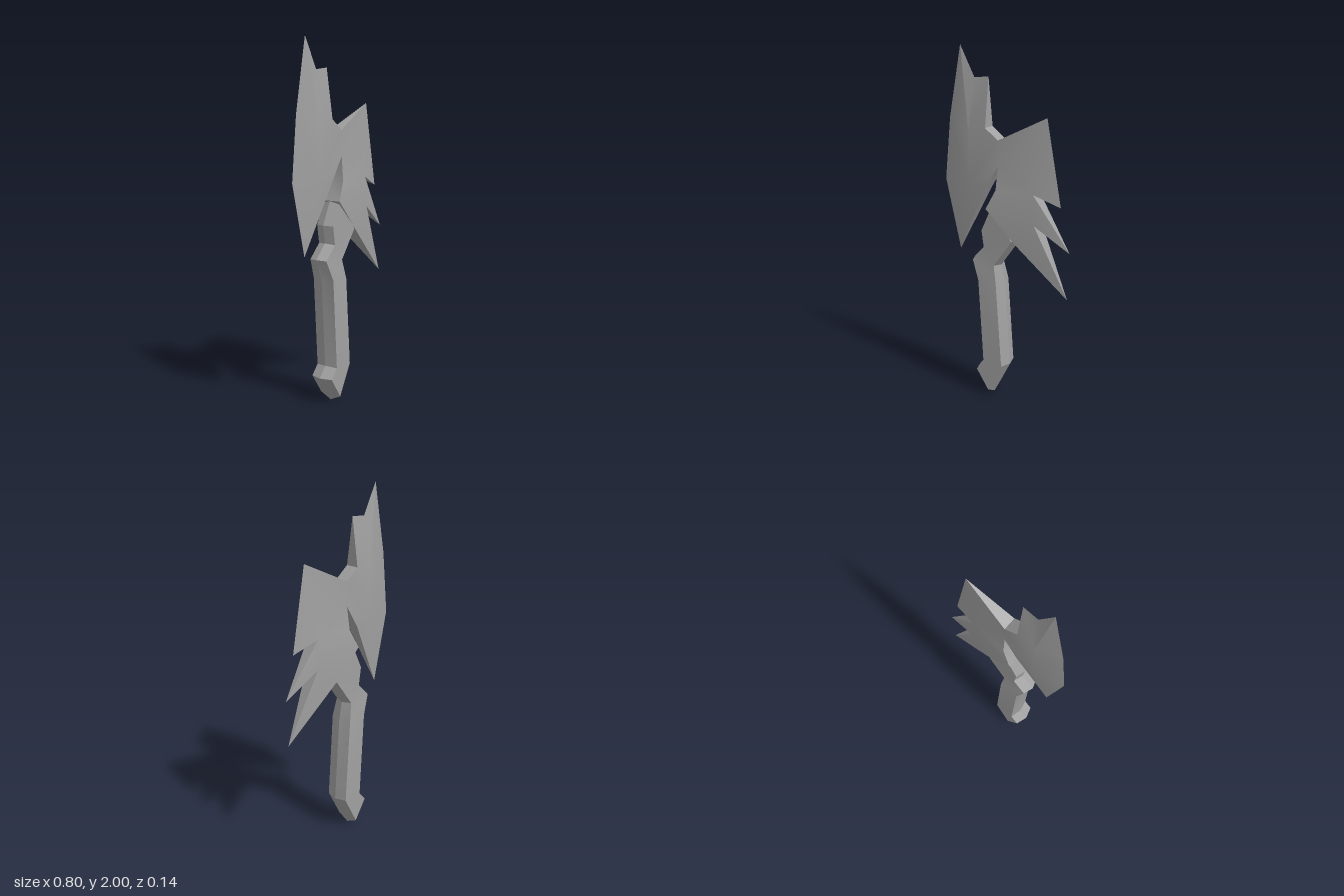
import * as THREE from 'three';
import { toCreasedNormals } from 'three/addons/utils/BufferGeometryUtils.js';

// Builds a solid mirrored in z: front points [x, y, z], front polygons (as fans),
// and a rim of n outline points, which may bulge out to a ridge loop at z = 0.
function mirroredSolid(points, polygons, n, ridge) {
  const pos = [];
  const v = (p) => new THREE.Vector3(p[0], p[1], p[2] ?? 0);
  const flip = (p) => [p[0], p[1], -(p[2] ?? 0)];
  const tri = (a, b, c) => {
    const A = v(a), B = v(b), C = v(c);
    const area = B.clone().sub(A).cross(C.clone().sub(A)).length();
    if (area > 1e-7) [A, B, C].forEach((p) => pos.push(p.x, p.y, p.z));
  };
  const both = (a, b, c) => { tri(a, b, c); tri(flip(a), flip(c), flip(b)); };

  for (const f of polygons) {
    for (let i = 1; i < f.length - 1; i++) both(points[f[0]], points[f[i]], points[f[i + 1]]);
  }
  for (let i = 0; i < n; i++) {
    const j = (i + 1) % n, a = points[i], b = points[j];
    if (ridge) {
      both(b, a, ridge[i]);
      both(b, ridge[i], ridge[j]);
    } else {
      tri(b, a, flip(a));
      tri(b, flip(a), flip(b));
    }
  }
  const geo = new THREE.BufferGeometry();
  geo.setAttribute('position', new THREE.Float32BufferAttribute(pos, 3));
  return toCreasedNormals(geo, 0.45);
}

// Mitred inset of a counter-clockwise outline
function inset(outline, d) {
  const n = outline.length;
  const normal = (a, b) => new THREE.Vector2(a[1] - b[1], b[0] - a[0]).normalize();
  return outline.map((p, i) => {
    const n1 = normal(outline[(i + n - 1) % n], p), n2 = normal(p, outline[(i + 1) % n]);
    const k = d / (1 + n1.dot(n2));
    return [p[0] + (n1.x + n2.x) * k, p[1] + (n1.y + n2.y) * k];
  });
}

export function createModel() {
  const group = new THREE.Group();
  const steel = new THREE.MeshStandardMaterial({ color: 0xa0a0a0 });
  steel.name = 'grey steel';

  // Axe head: sharp blade on the right, spiked wing on the left
  const head = [
    [-0.29, 2.0, 0], [-0.365, 1.6, 0], [-0.4, 1.25, 0], [-0.305, 0.85, 0],
    [-0.11, 1.24, 0.038], [-0.03, 1.37, 0.038], [-0.035, 1.24, 0.053], [-0.09, 1.13, 0.07],
    [0.085, 0.95, 0.052], [0.387, 0.67, 0], [0.2, 1.07, 0.043], [0.397, 0.935, 0],
    [0.19, 1.24, 0.038], [0.338, 1.18, 0], [0.25, 1.65, 0], [-0.03, 1.51, 0.038],
    [-0.11, 1.57, 0.038], [-0.11, 1.84, 0], [-0.2, 1.83, 0],
    [-0.22, 1.55, 0.038], [-0.22, 1.25, 0.038], // ridge inside the blade
  ];
  const headFaces = [
    [0, 1, 19], [1, 2, 20, 19], [2, 3, 20], [3, 4, 20], [20, 4, 5, 15, 16, 19],
    [19, 16, 17], [19, 17, 18], [19, 18, 0],
    [5, 6, 12], [6, 7, 12], [7, 10, 12], [7, 8, 10], [8, 9, 10], [10, 11, 12],
    [12, 13, 14], [5, 12, 14, 15],
  ];
  const axeHead = new THREE.Mesh(mirroredSolid(head, headFaces, 19), steel);
  axeHead.name = 'axeHead';

  // Handle: flat faces with sides that meet in a ridge, thinner at the neck
  const outline = [
    [-0.08, 0], [0.025, 0.2], [-0.01, 0.7], [-0.03, 0.8], [0.085, 0.96], [0, 1.12],
    [-0.085, 1.13], [-0.145, 1.0], [-0.13, 0.9], [-0.207, 0.82], [-0.16, 0.7],
    [-0.13, 0.21], [-0.18, 0.15],
  ];
  const neck = (i) => i >= 3 && i <= 9;
  const faceRing = inset(outline, 0.017).map((p, i) => [...p, neck(i) ? 0.055 : 0.068]);
  const handleFaces = [
    [0, 1, 11, 12], [1, 2, 10, 11], [2, 3, 9, 10], [3, 4, 8, 9], [4, 5, 6, 7], [4, 7, 8],
  ];
  const handle = new THREE.Mesh(
    mirroredSolid(faceRing, handleFaces, outline.length, outline), steel);
  handle.name = 'handle';

  group.add(axeHead, handle);
  return group;
}
